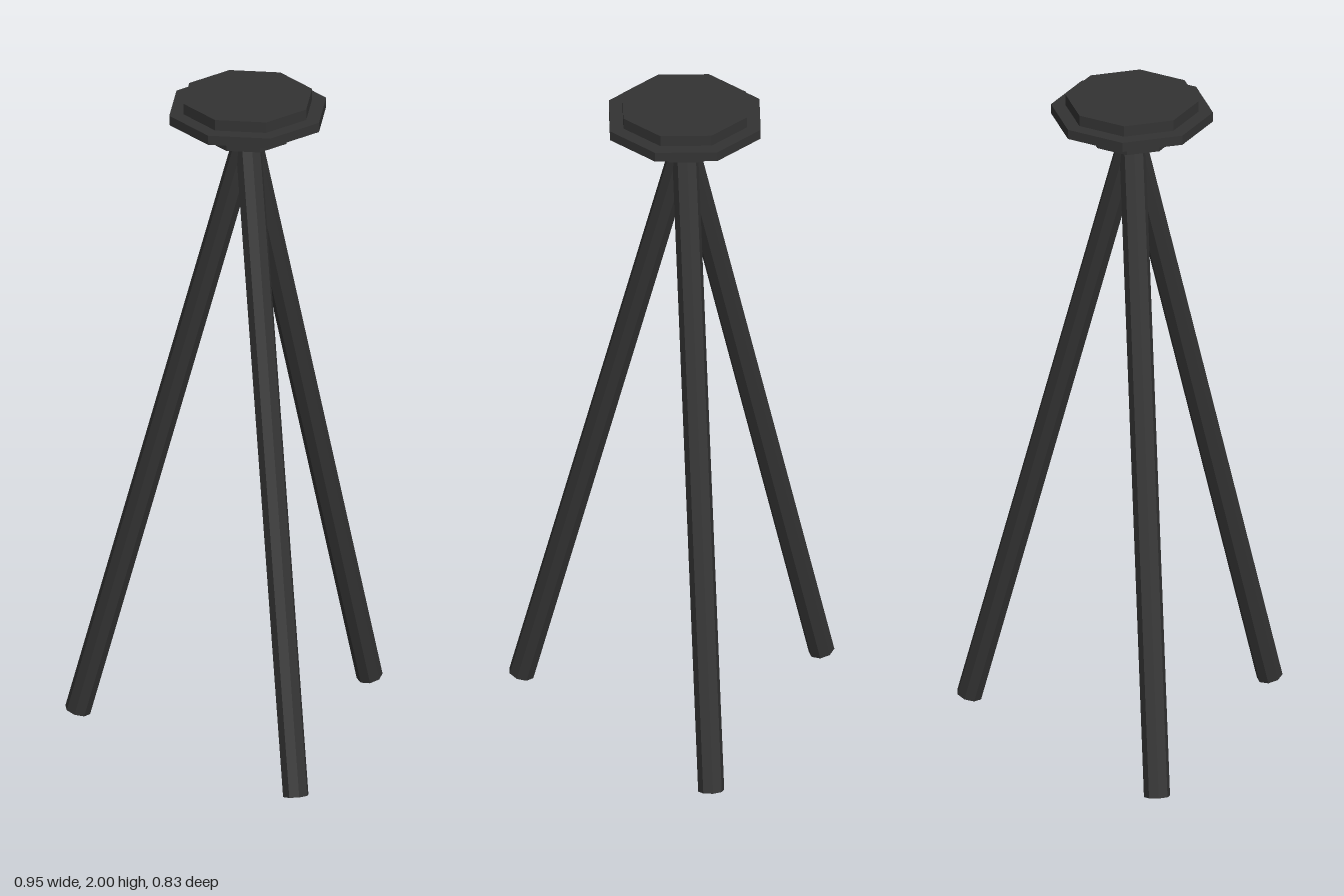
import * as THREE from 'three';

const AXIS_Z = -0.127; // the head sits behind the centre of the footprint
const LEG_RADIUS = 0.038;
const LEG_SPREAD = 0.505;
const LEG_TOP = 1.88;
const LEG_FOOT = 0.01;

export function createModel() {
  const model = new THREE.Group();
  model.name = 'tripodStand';
  const material = new THREE.MeshStandardMaterial({ color: 0x333333, flatShading: true });

  // Octagonal disc between two heights
  const addDisc = (name, radius, bottom, top) => {
    const disc = new THREE.Mesh(new THREE.CylinderGeometry(radius, radius, top - bottom, 8), material);
    disc.name = name;
    disc.position.set(0, (bottom + top) / 2, AXIS_Z);
    model.add(disc);
  };

  // Head: collar, wide flange and top plate
  addDisc('collar', 0.127, 1.877, 1.938);
  addDisc('flange', 0.235, 1.938, 1.967);
  addDisc('topPlate', 0.193, 1.967, 2.0);

  // Three splayed legs meeting under the collar
  const rise = LEG_TOP - LEG_FOOT;
  const legGeometry = new THREE.CylinderGeometry(LEG_RADIUS, LEG_RADIUS, Math.hypot(rise, LEG_SPREAD), 8);
  legGeometry.rotateX(-Math.atan2(LEG_SPREAD, rise));
  legGeometry.translate(0, (LEG_TOP + LEG_FOOT) / 2, LEG_SPREAD / 2);
  ['frontLeg', 'backLeftLeg', 'backRightLeg'].forEach((name, i) => {
    const leg = new THREE.Mesh(legGeometry, material);
    leg.name = name;
    leg.position.z = AXIS_Z;
    leg.rotation.y = (i * Math.PI * 2) / 3;
    model.add(leg);
  });

  return model;
}
